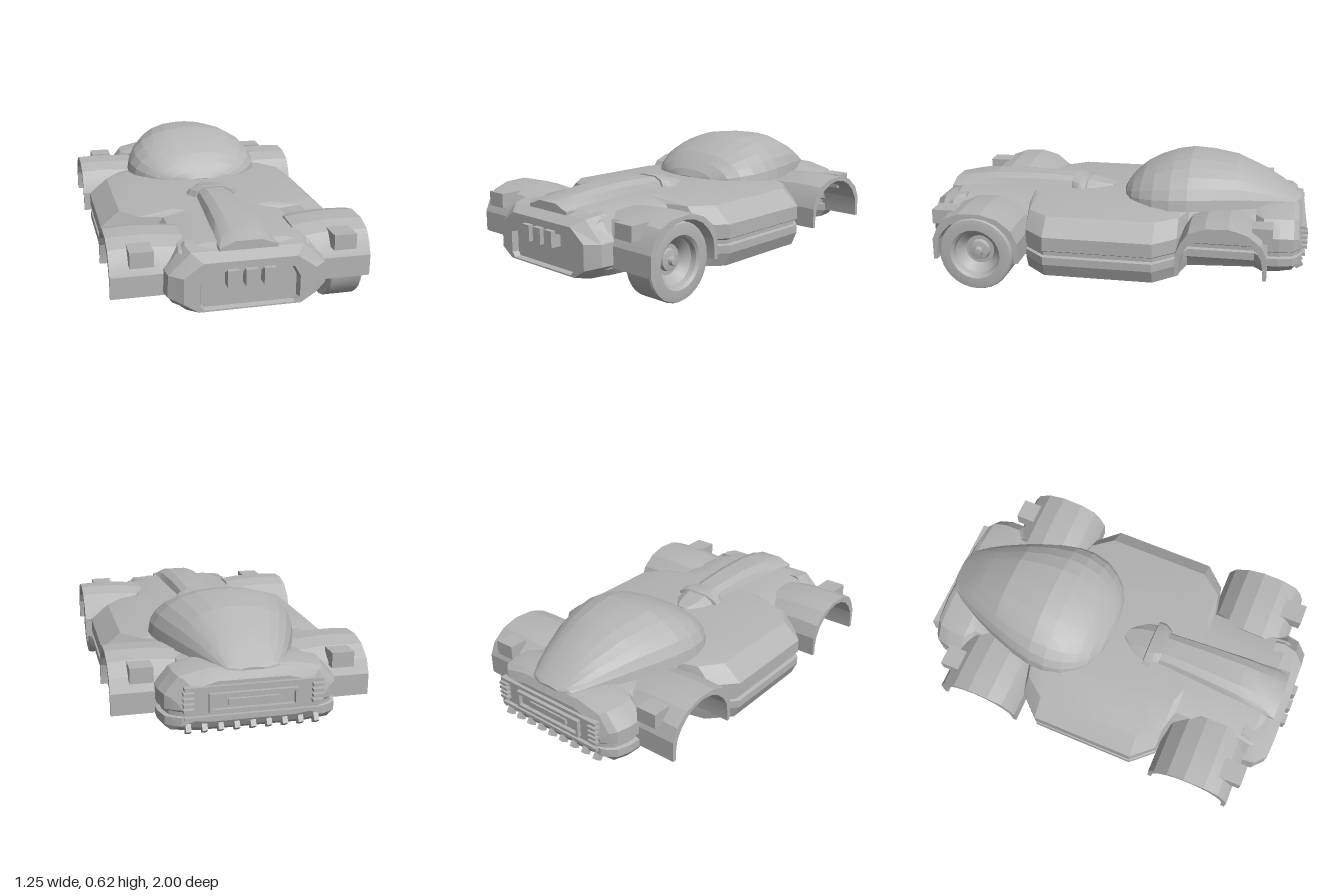
import * as THREE from 'three';
import { toCreasedNormals } from 'three/addons/utils/BufferGeometryUtils.js';

const paint = new THREE.MeshStandardMaterial({ color: 0xb4b4b4 });
paint.name = 'grey';

function add(parent, name, geometry, crease = 0.25) {
  const mesh = new THREE.Mesh(toCreasedNormals(geometry, crease), paint);
  mesh.name = name;
  parent.add(mesh);
  return mesh;
}

function box(parent, name, w, h, d, x, y, z) {
  const mesh = add(parent, name, new THREE.BoxGeometry(w, h, d));
  mesh.position.set(x, y, z);
  return mesh;
}

// Skin closed rings (counter-clockwise seen from +z, ordered back to front) and cap both ends.
function loft(rings) {
  const n = rings[0].length, pos = rings.flat(2), index = [];
  for (let i = 0; i < rings.length - 1; i++) {
    for (let j = 0; j < n; j++) {
      const a = i * n + j, b = i * n + (j + 1) % n;
      index.push(a, b, b + n, a, b + n, a + n);
    }
  }
  [0, rings.length - 1].forEach((r, end) => {
    const ring = rings[r], c = pos.length / 3;
    const ys = ring.map(p => p[1]);
    pos.push(0, (Math.min(...ys) + Math.max(...ys)) / 2, ring[0][2]);
    for (let j = 0; j < n; j++) {
      const a = r * n + j, b = r * n + (j + 1) % n;
      if (end) index.push(c, a, b); else index.push(c, b, a);
    }
  });
  const g = new THREE.BufferGeometry();
  g.setAttribute('position', new THREE.Float32BufferAttribute(pos, 3));
  g.setIndex(index);
  return g;
}

// Complete a right-hand half profile (bottom to top) by mirroring it.
const mirrorRing = (half, z) => [
  ...half.map(([x, y]) => [x, y, z]),
  ...half.slice().reverse().map(([x, y]) => [-x, y, z]),
];

// Hull section with sloped shoulders, a side groove and a tucked-in sill.
const hullRing = ([z, w, top, bottom]) => mirrorRing([
  [w * 0.6, bottom], [w - 0.03, bottom + 0.014], [w, 0.16], [w, 0.2],
  [w - 0.02, 0.205], [w - 0.02, 0.225], [w, 0.235], [w, top - 0.11],
  [w * 0.84, top - 0.03], [w * 0.5, top],
], z);

// Fender arch shell, swept across x with a gently crowned top.
function fenderGeometry(side) {
  const s = new THREE.Shape();
  s.moveTo(0.21, 0.165);
  [[0.21, 0.27], [0.185, 0.335], [0.15, 0.385], [0.07, 0.415], [-0.04, 0.42], [-0.13, 0.395],
    [-0.2, 0.34], [-0.23, 0.27], [-0.23, 0.165], [-0.21, 0.165]].forEach(p => s.lineTo(...p));
  for (let i = 0; i <= 10; i++) {
    const a = Math.PI * (1 - i / 10);
    s.lineTo(-0.01 + 0.2 * Math.cos(a), 0.21 + 0.19 * Math.sin(a));
  }
  s.lineTo(0.19, 0.165);
  const g = new THREE.ExtrudeGeometry(s, { depth: 0.355, steps: 4, bevelEnabled: false });
  g.rotateY(-Math.PI / 2);
  g.translate(side > 0 ? 0.625 : -0.27, 0, 0);
  const p = g.attributes.position;
  for (let i = 0; i < p.count; i++) {
    const d = Math.abs(Math.abs(p.getX(i)) - 0.5) / 0.23;
    if (p.getY(i) > 0.3) p.setY(i, p.getY(i) - 0.018 * d * d);
  }
  return g;
}

export function createModel() {
  const car = new THREE.Group();
  car.name = 'car';

  // Hull: rear tail, wheel-well necks, wide middle, front neck
  add(car, 'hull', loft([
    [-0.975, 0.33, 0.36, 0.17], [-0.955, 0.37, 0.4, 0.135], [-0.93, 0.4, 0.41, 0.115],
    [-0.86, 0.42, 0.415, 0.11], [-0.78, 0.42, 0.415, 0.105], [-0.74, 0.36, 0.415, 0.1],
    [-0.4, 0.36, 0.415, 0.085], [-0.36, 0.5, 0.415, 0.08], [-0.25, 0.6, 0.415, 0.078],
    [0.3, 0.6, 0.415, 0.078], [0.41, 0.5, 0.415, 0.08], [0.44, 0.36, 0.415, 0.082],
    [0.8, 0.36, 0.41, 0.1], [0.86, 0.37, 0.405, 0.107], [0.93, 0.34, 0.37, 0.12],
  ].map(hullRing)));

  // Nose collar folding into an open mouth
  add(car, 'noseCollar', loft([
    [0.8, [[0.3, 0.108], [0.37, 0.18], [0.37, 0.3], [0.27, 0.4]]],
    [0.85, [[0.3, 0.108], [0.385, 0.18], [0.38, 0.29], [0.28, 0.395]]],
    [0.92, [[0.29, 0.11], [0.375, 0.18], [0.37, 0.285], [0.265, 0.385]]],
    [0.975, [[0.24, 0.115], [0.31, 0.16], [0.31, 0.285], [0.22, 0.35]]],
    [0.975, [[0.215, 0.122], [0.235, 0.145], [0.235, 0.25], [0.205, 0.302]]],
    [0.945, [[0.21, 0.127], [0.225, 0.145], [0.225, 0.25], [0.2, 0.295]]],
  ].map(([z, half]) => mirrorRing(half, z))));
  for (const x of [-0.087, -0.002, 0.083]) {
    box(car, 'noseTooth', 0.055, 0.08, 0.065, x, 0.275, 0.9675);
  }

  // Raised bonnet spine, its flared cowl and rounded tail
  const ridgeRing = ([z, w, top]) => mirrorRing(
    [[w, 0.385], [w, 0.4], [w * 0.8, top - 0.02], [w * 0.45, top]], z);
  add(car, 'bonnetSpine', loft([
    [0.2, 0.1, 0.455], [0.3, 0.102, 0.463], [0.5, 0.115, 0.47],
    [0.7, 0.128, 0.464], [0.85, 0.137, 0.446], [0.93, 0.138, 0.428],
  ].map(ridgeRing)), 0.4);
  add(car, 'bonnetCowl', loft([
    [0.033, 0.03, 0.418], [0.045, 0.065, 0.421], [0.075, 0.095, 0.427], [0.12, 0.113, 0.437],
    [0.175, 0.12, 0.448], [0.18, 0.145, 0.455], [0.22, 0.143, 0.463], [0.26, 0.115, 0.465],
  ].map(ridgeRing)), 0.4);

  // Egg-shaped canopy reaching back to the tail lip
  add(car, 'canopy', loft([
    [-0.97, 0.06, 0.412], [-0.945, 0.13, 0.428], [-0.87, 0.18, 0.482], [-0.79, 0.222, 0.532],
    [-0.63, 0.292, 0.6], [-0.5, 0.338, 0.62], [-0.39, 0.364, 0.625], [-0.3, 0.368, 0.608],
    [-0.21, 0.348, 0.575], [-0.14, 0.305, 0.538], [-0.09, 0.255, 0.498],
    [-0.05, 0.17, 0.455], [-0.03, 0.07, 0.42],
  ].map(([z, w, top]) => {
    const half = [];
    for (let i = 0; i <= 6; i++) {
      const a = (i / 6) * Math.PI * 0.48;
      half.push([w * Math.cos(a) ** 0.85, 0.4 + (top - 0.4) * Math.sin(a)]);
    }
    return mirrorRing(half, z);
  })), 0.18);

  // Fenders with lamp pods, front and rear on both sides
  for (const side of [-1, 1]) {
    for (const [end, z, podZ] of [['front', 0.65, 0.83], ['rear', -0.575, -0.775]]) {
      add(car, end + 'Fender', fenderGeometry(side)).position.z = z;
      box(car, end + 'LampPod', 0.11, 0.075, end === 'front' ? 0.12 : 0.1, side * 0.482, 0.358, podZ);
    }
    // Slatted tail lights
    for (let i = 0; i < 4; i++) {
      box(car, 'tailLightSlat', 0.05, 0.014, 0.04, side * 0.3, 0.235 + i * 0.026, -0.98);
    }
  }

  // Tail frame, slot plate and lower diffuser fins
  for (const y of [0.195, 0.335]) box(car, 'tailBar', 0.64, 0.016, 0.04, 0, y, -0.973);
  for (const y of [0.225, 0.3]) box(car, 'slotFrame', 0.4, 0.015, 0.03, 0, y, -0.98);
  for (const x of [-0.2, 0.2]) box(car, 'slotFrame', 0.015, 0.09, 0.03, x, 0.2625, -0.98);
  box(car, 'slotPlate', 0.24, 0.03, 0.02, 0, 0.262, -0.98);
  for (let i = 0; i < 9; i++) {
    box(car, 'diffuserFin', 0.025, 0.065, 0.04, (i - 4) * 0.075, 0.15, -0.953).rotation.x = 0.6;
  }

  // Single front wheel: tyre, dished rim and hub in one turned profile
  const profile = [
    [0, -0.06], [0.1, -0.06], [0.12, -0.08], [0.186, -0.08], [0.19, -0.074],
    [0.19, 0.07], [0.185, 0.079], [0.165, 0.083], [0.13, 0.083], [0.117, 0.072], [0.112, 0.045],
    [0.085, 0.02], [0.075, 0.0], [0.055, 0.0], [0.05, 0.02], [0.022, 0.025],
    [0.018, 0.045], [0, 0.047],
  ].map(p => new THREE.Vector2(...p));
  const wheel = add(car, 'frontWheel', new THREE.LatheGeometry(profile, 32), 0.5);
  wheel.rotation.z = -Math.PI / 2;
  wheel.position.set(0.52, 0.19, 0.65);

  return car;
}
